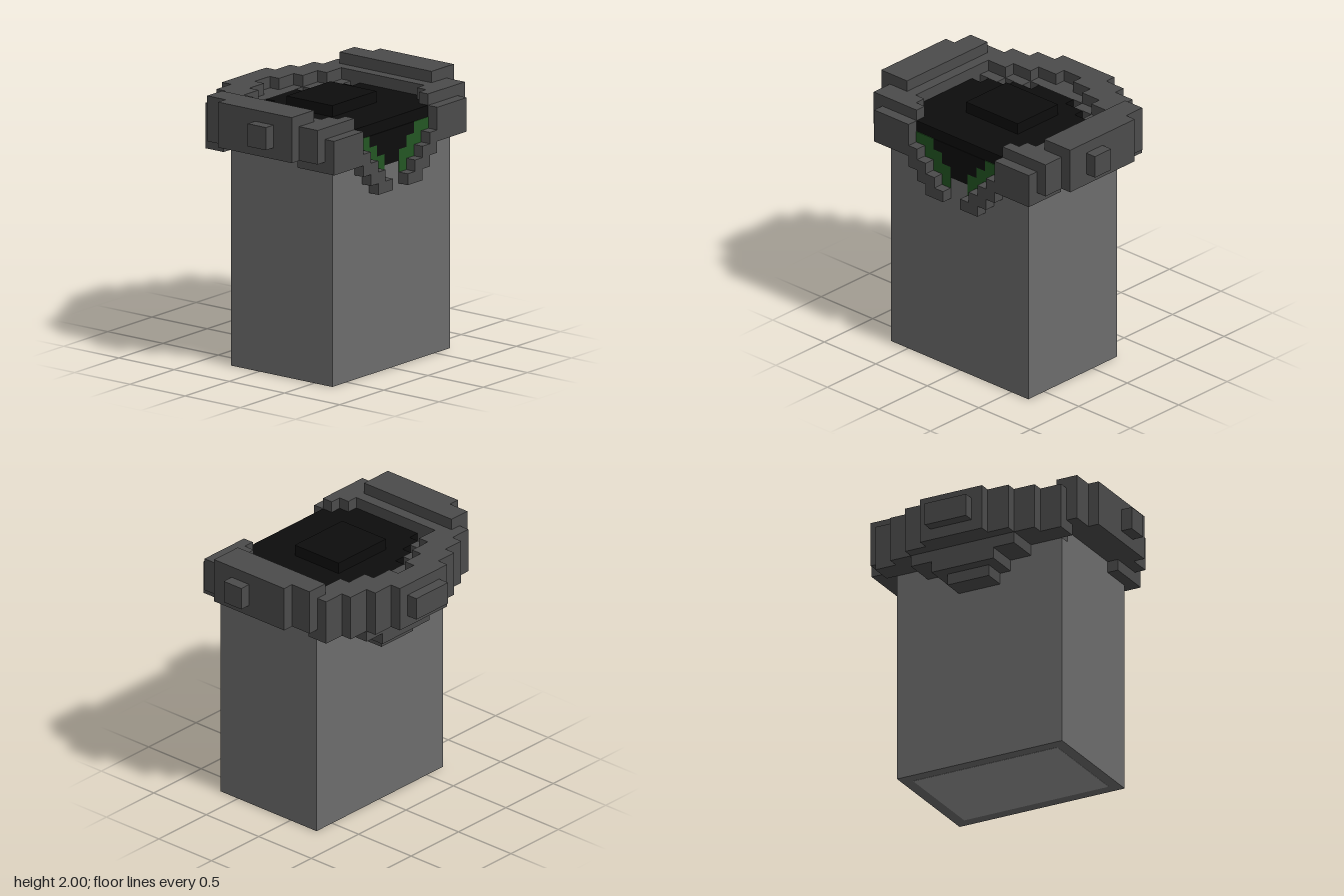
import * as THREE from 'three';
import { mergeGeometries } from 'three/addons/utils/BufferGeometryUtils.js';

const U = 1 / 12; // one block

const paint = (name, color) => {
  const m = new THREE.MeshStandardMaterial({ color });
  m.name = name;
  return m;
};

// Box from min and max corners, in blocks
function box(x0, x1, y0, y1, z0, z1) {
  const g = new THREE.BoxGeometry((x1 - x0) * U, (y1 - y0) * U, (z1 - z0) * U);
  return g.translate((x0 + x1) / 2 * U, (y0 + y1) / 2 * U, (z0 + z1) / 2 * U);
}

// The same box on both z sides
const pair = (x0, x1, y0, y1, z0, z1) => [box(x0, x1, y0, y1, z0, z1), box(x0, x1, y0, y1, -z1, -z0)];

export function createModel() {
  const root = new THREE.Group();
  const grey = paint('body grey', 0x6c6c6c);
  const fur = paint('collar grey', 0x4b4b4b);
  const light = paint('light grey', 0x959595);
  const black = paint('black', 0x0d0d0d);
  const green = paint('green', 0x235623);
  const add = (name, boxes, mat) => {
    const mesh = new THREE.Mesh(mergeGeometries(boxes), mat);
    mesh.name = name;
    root.add(mesh);
  };

  // Body block with the two back corners cut at the top
  add('body', [box(-3, 8, 0, 19, -8, 8), box(-2, 8, 19, 20, -8, 8), box(-3, -2, 19, 20, -7, 7)], grey);
  add('basePlate', [box(-2, 7, -0.02, 0.05, -7, 7)], light);

  // Dark top, stepped at the back and front, with a raised plate
  add('darkTop', [
    box(-4, -3, 20, 22, -2, 2), box(-3, -2, 20, 22, -4, 4), box(-2, -1, 20, 22, -6, 6),
    box(-1, 6, 20, 22, -7, 7), box(6, 7, 20, 22, -6, 6), box(7, 8, 20, 22, -5, 5),
    box(-1, 4, 22, 23, -3, 3),
  ], black);
  add('lightStuds', [
    ...pair(-4, -3, 20, 20.5, 2, 3), ...pair(-3, -2, 20, 20.5, 4, 5), ...pair(-2, -1, 20, 20.5, 6, 7),
  ], light);

  // Neck opening on the +x face, painted as thin stepped plates
  add('neckOpening', [1, 2, 3].map((w, i) => box(7.95, 8.06, 18 + i, 19 + i, -w, w)), black);
  const trim = [[1, 2], [1, 3], [2, 4], [3, 5]];
  add('neckTrim', trim.flatMap(([a, b], i) => pair(7.95, 8.06, 17 + i, 18 + i, a, b)), green);

  // Collar at the back: rows in x as [x0, x1, bottom, top, half width]
  const back = [
    [-9, -8, 20, 22, 2], [-8, -7, 19, 23, 3], [-7, -6, 19, 23, 5],
  ].map(([x0, x1, y0, y1, w]) => box(x0, x1, y0, y1, -w, w));
  back.push(
    ...pair(-6, -5, 19, 23, 1, 7), box(-6, -5, 19, 22, -1, 1),
    ...pair(-5, -4, 19, 23, 3, 9), box(-5, -4, 19, 22, -3, 3),
    box(-5, -3, 19, 20, -8, 8),
    // hanging point behind the body
    box(-5, -3, 16, 17, -2, 2), box(-6, -3, 17, 18, -3, 3), box(-6, -3, 18, 19, -5, 5),
  );
  add('collarBack', back, fur);

  // Collar along both z sides
  add('collarSides', [
    ...pair(-4, -3, 20, 22, 3, 5), ...pair(-4, -3, 20, 23, 5, 8),
    ...pair(-3, -2, 20, 22, 5, 7), ...pair(-3, -2, 20, 23, 7, 8),
    ...pair(-2, 6, 20, 23, 7, 8),
    ...pair(-4, 6, 20, 24, 8, 10),
    ...pair(-2, 6, 20, 24, 10, 11),
    ...pair(2, 4, 21, 23, 11, 12),
    ...pair(-4, -3, 19, 20, 8, 9), ...pair(5, 8, 19, 20, 8, 9),
  ], fur);

  // Collar at the front, ending in two stepped lapels
  const lapel = [[1, 3], [2, 4], [3, 5], [4, 9], [5, 9], [5, 9]];
  add('collarFront', [
    ...pair(6, 7, 20, 23, 6, 10), ...pair(7, 8, 20, 23, 5, 10),
    ...lapel.flatMap(([a, b], i) => pair(8, 9, 16 + i, 17 + i, a, b)),
  ], fur);

  return root;
}
